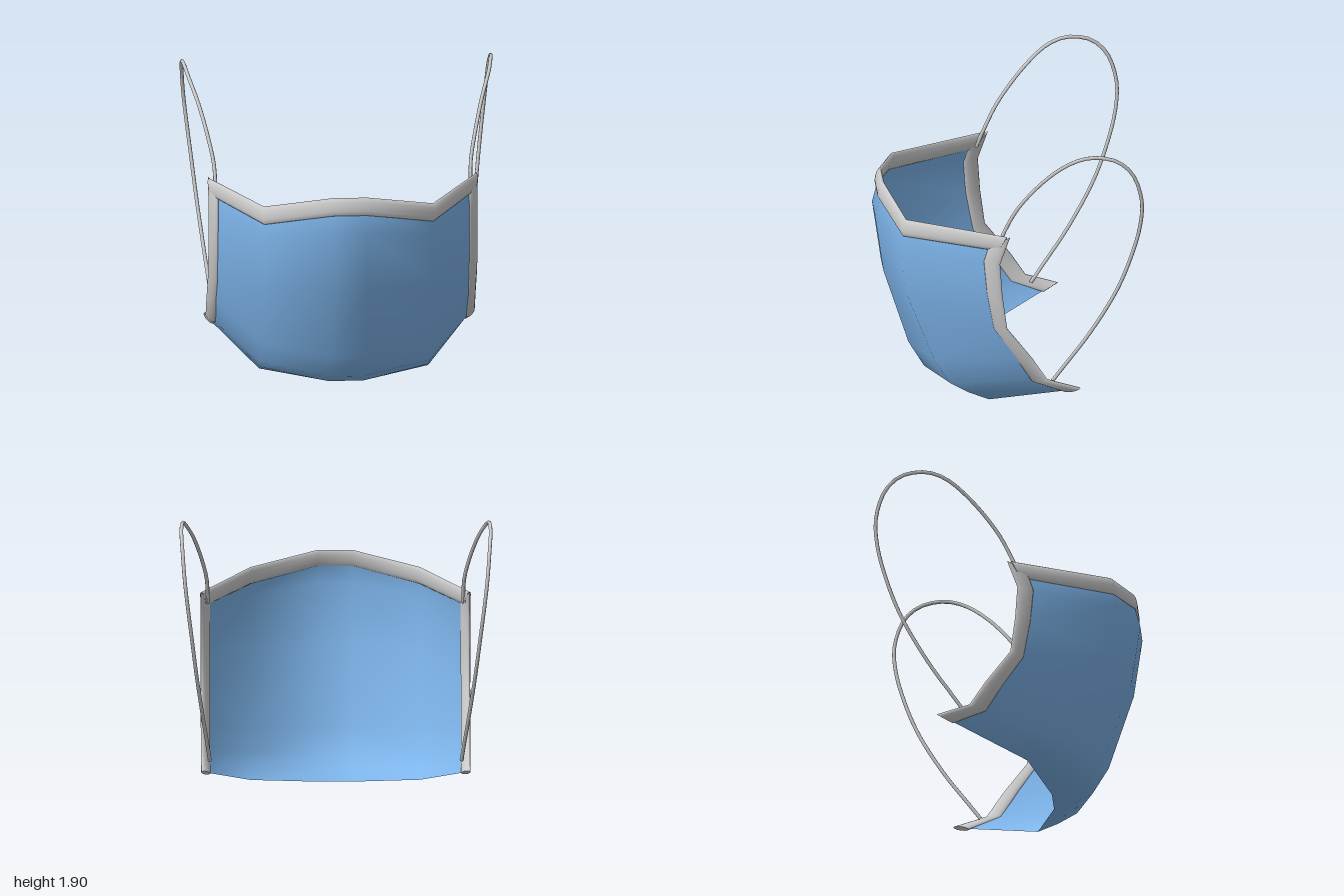
import * as THREE from 'three';

const grey = new THREE.MeshStandardMaterial({ color: 0xcccccc });
const blue = new THREE.MeshStandardMaterial({ color: 0x7db4ea, side: THREE.DoubleSide });
const V = (x, y, z) => new THREE.Vector3(x, y, z);

function toGeometry(points, index) {
  const g = new THREE.BufferGeometry().setFromPoints(points);
  g.setIndex(index);
  g.computeVertexNormals();
  return g;
}

function addMesh(parent, name, geometry, material) {
  const m = new THREE.Mesh(geometry, material);
  m.name = name;
  parent.add(m);
}

// Flat oval band running between two edge lines a[i] and b[i]
function band(a, b, halfThick, sides = 12) {
  const points = [], index = [], n = a.length;
  const mid = a.map((p, i) => p.clone().lerp(b[i], 0.5));
  for (let i = 0; i < n; i++) {
    const tangent = mid[Math.min(i + 1, n - 1)].clone().sub(mid[Math.max(i - 1, 0)]);
    const across = b[i].clone().sub(a[i]).multiplyScalar(0.5);
    const normal = tangent.cross(across).normalize();
    for (let j = 0; j < sides; j++) {
      const t = (j / sides) * Math.PI * 2;
      points.push(mid[i].clone()
        .addScaledVector(across, Math.cos(t))
        .addScaledVector(normal, Math.sin(t) * halfThick));
    }
  }
  for (let i = 0; i < n - 1; i++) {
    for (let j = 0; j < sides; j++) {
      const k = (j + 1) % sides;
      const p = i * sides + j, q = i * sides + k;
      index.push(p, q, p + sides, q, q + sides, p + sides);
    }
  }
  // End caps use their own vertices so the rim stays sharp
  for (const end of [0, n - 1]) {
    const base = points.length;
    for (let j = 0; j < sides; j++) points.push(points[end * sides + j].clone());
    for (let j = 1; j < sides - 1; j++) {
      if (end) index.push(base, base + j, base + j + 1);
      else index.push(base, base + j + 1, base + j);
    }
  }
  return toGeometry(points, index);
}

// Cloth: three vertical profiles [y, z] per half, mirrored to six columns
const centre = [[1.34, 0.78], [1.17, 0.825], [0.78, 0.77], [0.28, 0.61], [0.11, 0.51], [0.04, 0.39], [0.003, 0.26]];
const cheek = [[1.25, 0.665], [1.12, 0.70], [0.78, 0.65], [0.33, 0.48], [0.17, 0.38], [0.10, 0.26], [0.047, 0.13]];
const edge = [[1.24, 0.10], [1.12, 0.155], [0.9, 0.145], [0.66, 0.10], [0.45, -0.035], [0.29, -0.15], [0.21, -0.34]];

function clothGeometry() {
  const columns = [[-0.815, edge], [-0.54, cheek], [-0.11, centre], [0.11, centre], [0.54, cheek], [0.815, edge]];
  const points = [], index = [], w = columns.length;
  for (let r = 0; r < centre.length; r++) {
    for (const [x, profile] of columns) points.push(V(x, ...profile[r]));
  }
  for (let r = 0; r < centre.length - 1; r++) {
    for (let c = 0; c < w - 1; c++) {
      const p = r * w + c;
      // Diagonals mirror about the middle
      if (c < w / 2) index.push(p, p + w, p + 1, p + 1, p + w, p + w + 1);
      else index.push(p, p + w, p + w + 1, p, p + w + 1, p + 1);
    }
  }
  return toGeometry(points, index);
}

// Binding along the top edge
function topBindingGeometry() {
  const lower = [[0.835, 1.2, 0.09], [0.54, 1.2, 0.68], [0.11, 1.288, 0.80]];
  const upper = [[0.855, 1.305, 0.04], [0.54, 1.315, 0.66], [0.11, 1.4, 0.772]];
  const full = (half) => [
    ...half.map(([x, y, z]) => V(-x, y, z)),
    ...half.slice().reverse().map(([x, y, z]) => V(x, y, z)),
  ];
  return band(full(lower), full(upper), 0.018);
}

// Binding down each side, [y, z] of its front and rear edges
const sideFront = [[1.2, 0.16], [1.12, 0.185], [0.9, 0.165], [0.65, 0.12], [0.46, -0.01], [0.28, -0.12], [0.2, -0.33]];
const sideRear = [[1.305, 0.02], [1.12, 0.085], [0.9, 0.07], [0.67, 0.04], [0.46, -0.12], [0.305, -0.22], [0.24, -0.43]];

// Ear loop centre line on the left side
const loop = [
  [0.815, 1.22, 0.1], [0.82, 1.38, 0.03], [0.845, 1.51, -0.04], [0.905, 1.72, -0.21],
  [0.96, 1.85, -0.37], [0.98, 1.89, -0.5], [0.987, 1.862, -0.65], [0.98, 1.77, -0.75],
  [0.965, 1.58, -0.812], [0.945, 1.4, -0.805], [0.92, 1.19, -0.755], [0.89, 0.93, -0.66],
  [0.85, 0.62, -0.49], [0.82, 0.4, -0.34], [0.803, 0.27, -0.25],
];

export function createModel() {
  const model = new THREE.Group();
  model.name = 'faceMask';
  addMesh(model, 'cloth', clothGeometry(), blue);
  addMesh(model, 'topBinding', topBindingGeometry(), grey);

  for (const [side, s] of [['left', 1], ['right', -1]]) {
    const front = sideFront.map(([y, z]) => V(s * 0.803, y, z));
    const rear = sideRear.map(([y, z]) => V(s * 0.857, y, z));
    addMesh(model, side + 'SideBinding', band(front, rear, 0.016), grey);

    const path = new THREE.CatmullRomCurve3(loop.map(([x, y, z]) => V(s * x, y, z)));
    addMesh(model, side + 'EarLoop', new THREE.TubeGeometry(path, 48, 0.012, 8), grey);
  }
  return model;
}
